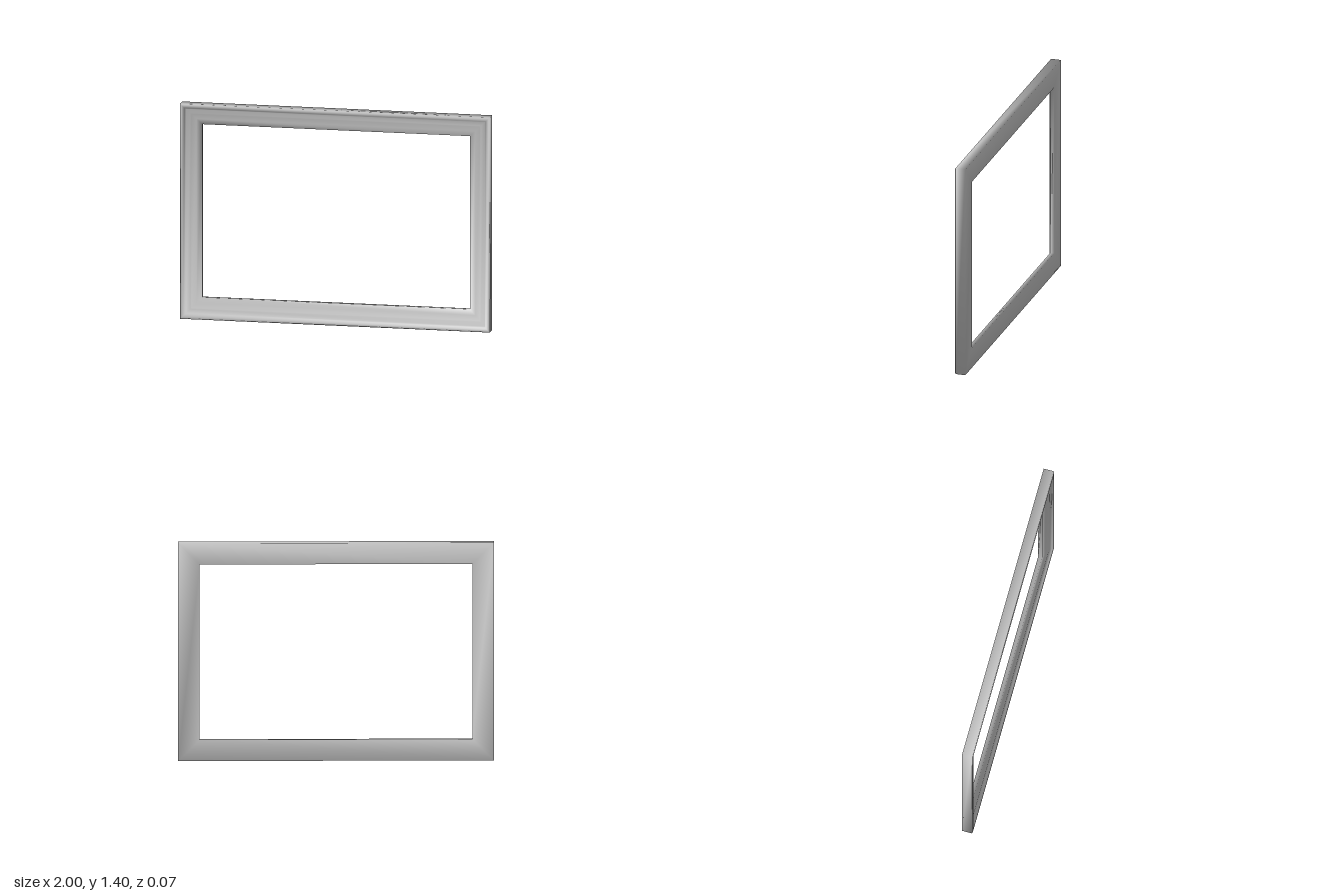
import * as THREE from 'three';

const HALF_W = 1, HALF_H = 0.7;

// Moulding cross-section: [inset from the outer edge, z], closed loop
const PROFILE = [
  [0, -0.035], [0, 0.03],                                // outer wall
  [0.007, 0.035], [0.018, 0.035],                        // raised rim
  [0.028, 0.027], [0.036, 0.016],                        // cove
  [0.062, 0.014], [0.068, 0.008],                        // flat band and step
  [0.1, 0], [0.136, -0.008],                             // slope to the opening
  [0.136, -0.035],                                       // inner wall, flat back
];

// Sweeps the profile around the four mitred corners with shared smooth normals
function mitredFrame(profile) {
  const corners = [[-1, -1], [1, -1], [1, 1], [-1, 1]];
  const n = profile.length, positions = [], index = [];
  for (const [sx, sy] of corners)
    for (const [d, z] of profile)
      positions.push(sx * (HALF_W - d), HALF_H + sy * (HALF_H - d), z);
  for (let i = 0; i < 4; i++) {
    for (let j = 0; j < n; j++) {
      const i2 = (i + 1) % 4, j2 = (j + 1) % n;
      const a = i * n + j, b = i2 * n + j, c = i2 * n + j2, d = i * n + j2;
      index.push(a, b, d, b, c, d);
    }
  }
  const geometry = new THREE.BufferGeometry();
  geometry.setAttribute('position', new THREE.Float32BufferAttribute(positions, 3));
  geometry.setIndex(index);
  geometry.computeVertexNormals();
  return geometry;
}

export function createModel() {
  const group = new THREE.Group();
  group.name = 'pictureFrame';
  const material = new THREE.MeshStandardMaterial({ color: 0xcccccc });
  const moulding = new THREE.Mesh(mitredFrame(PROFILE), material);
  moulding.name = 'frameMoulding';
  group.add(moulding);
  return group;
}
